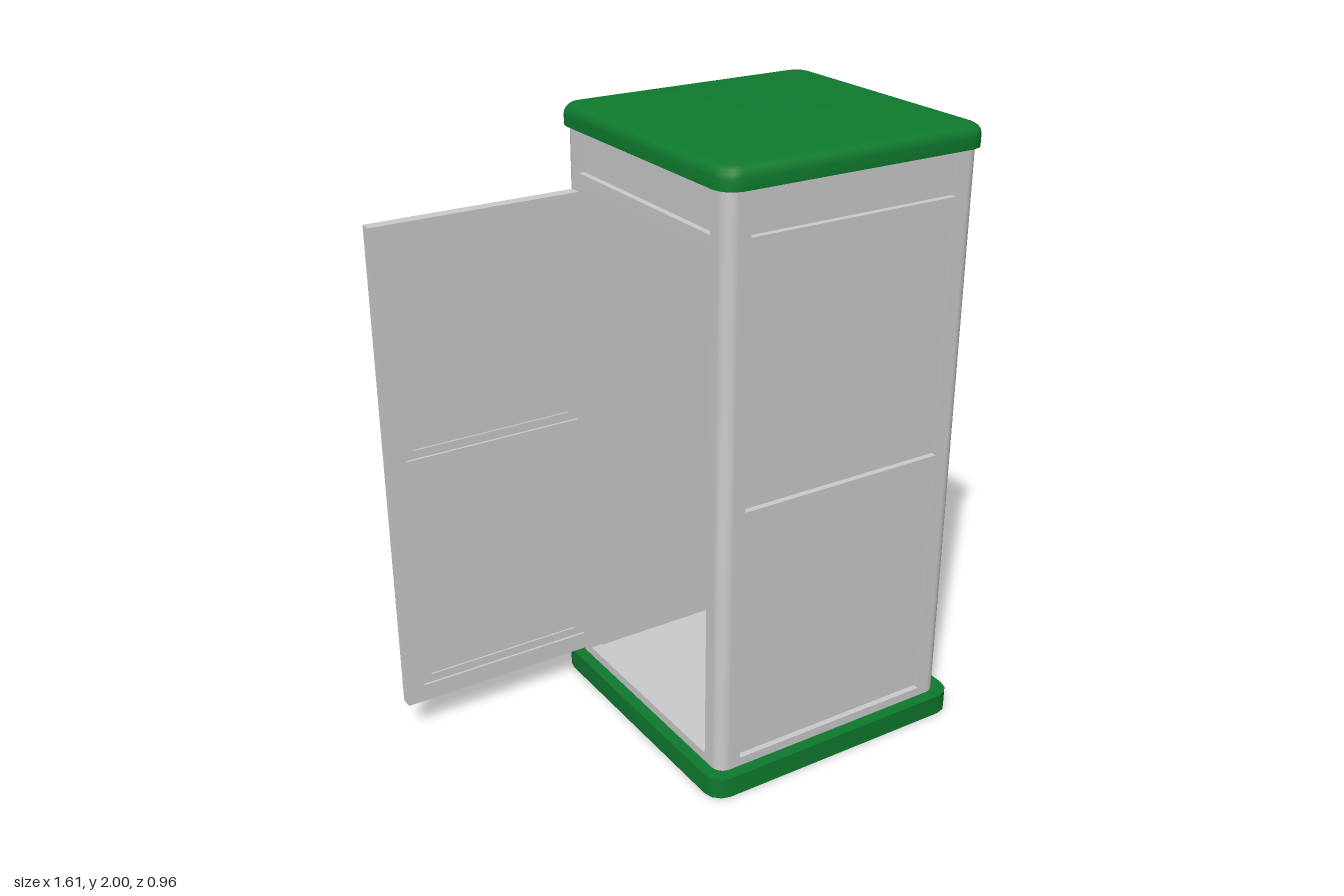
import * as THREE from 'three';
import { toCreasedNormals } from 'three/addons/utils/BufferGeometryUtils.js';

const grey = new THREE.MeshStandardMaterial({ color: 0xcccccc, side: THREE.DoubleSide });
const green = new THREE.MeshStandardMaterial({ color: 0x0f7a2e });

const HALF = 0.44, R = 0.04, RECESS = 0.02;
const BOTTOM = 0.06, TOP = 1.94;
const HEADER = 1.795, OPENING = 0.36;

function mesh(name, geometry, material, x = 0, y = 0, z = 0) {
  const m = new THREE.Mesh(geometry, material);
  m.name = name;
  m.position.set(x, y, z);
  return m;
}

function rectPath(x0, y0, x1, y1, Type = THREE.Path) {
  return new Type([[x0, y0], [x1, y0], [x1, y1], [x0, y1]].map(p => new THREE.Vector2(...p)));
}

// Flat plate in the XY plane with rectangular holes, extruded along +z
function plate(rect, holes, depth) {
  const shape = rectPath(...rect, THREE.Shape);
  shape.holes = holes.map(h => rectPath(...h));
  return new THREE.ExtrudeGeometry(shape, { depth, bevelEnabled: false });
}

// Points of a rounded square, counter-clockwise
function roundedSquare(half, r, segments = 3) {
  const points = [];
  for (let c = 0; c < 4; c++) {
    const mid = Math.PI / 4 + c * Math.PI / 2;
    const cx = Math.sign(Math.cos(mid)) * (half - r), cy = Math.sign(Math.sin(mid)) * (half - r);
    for (let i = 0; i <= segments; i++) {
      const a = (c + i / segments) * Math.PI / 2;
      points.push(new THREE.Vector2(cx + r * Math.cos(a), cy + r * Math.sin(a)));
    }
  }
  return points;
}

// Solid lofted through rounded squares, levels given as [y, half width, corner radius]
function loft(levels) {
  const pos = [], idx = [];
  const n = roundedSquare(1, 0.1).length;
  for (const [y, half, r] of levels)
    for (const p of roundedSquare(half, r)) pos.push(p.x, y, -p.y);
  for (let l = 0; l < levels.length - 1; l++)
    for (let i = 0; i < n; i++) {
      const a = l * n + i, b = l * n + (i + 1) % n;
      idx.push(a, b, b + n, a, b + n, a + n);
    }
  const last = (levels.length - 1) * n;
  for (let i = 1; i < n - 1; i++) {
    idx.push(0, i + 1, i);
    idx.push(last, last + i, last + i + 1);
  }
  const g = new THREE.BufferGeometry();
  g.setAttribute('position', new THREE.Float32BufferAttribute(pos, 3));
  g.setIndex(idx);
  return toCreasedNormals(g, 0.7);
}

// One side of the booth, facing +z: framed recessed panels, or a doorway under the header
function wall(name, doorway) {
  const g = new THREE.Group();
  g.name = name;
  const w = OPENING, edge = HALF - R;
  const header = [-w, HEADER, w, TOP - 0.005];
  const holes = doorway
    ? [[-w, 0.1, w, 1.75], header]
    : [[-w, 0.1, w, 0.885], [-w, 0.965, w, 1.75], header];
  g.add(mesh('wallFrame', plate([-edge, BOTTOM, edge, TOP], holes, RECESS), grey, 0, 0, HALF - RECESS));
  const backing = doorway ? [[-w, 0.1, w, 1.75]] : [];
  g.add(mesh('wallPanel', plate([-edge, BOTTOM, edge, TOP], backing, 0.02), grey, 0, 0, HALF - RECESS - 0.02));
  return g;
}

// Open door: a core sheet with two stepped frames on each face
function makeDoor() {
  const door = new THREE.Group();
  door.name = 'door';
  const w = 0.36, y0 = 0.105, y1 = 1.735;
  const outer = [[-0.3, 0.165, 0.3, 0.86], [-0.3, 0.98, 0.3, 1.68]];
  const inner = outer.map(([a, b, c, d]) => [a + 0.03, b + 0.028, c - 0.03, d - 0.026]);
  const rect = [-w, y0, w, y1];
  door.add(mesh('doorPanel', new THREE.BoxGeometry(2 * w, y1 - y0, 0.012), grey, 0, (y0 + y1) / 2, 0));
  for (const s of [-1, 1]) {
    door.add(mesh('doorMoulding', plate(rect, inner, 0.006), grey, 0, 0, s > 0 ? 0.006 : -0.012));
    door.add(mesh('doorFrame', plate(rect, outer, 0.008), grey, 0, 0, s > 0 ? 0.012 : -0.02));
  }
  door.position.set(-0.445, 0, -0.385);
  return door;
}

export function createModel() {
  const model = new THREE.Group();
  model.name = 'booth';
  const booth = new THREE.Group();
  booth.name = 'boothBody';
  booth.position.x = 0.32;
  model.add(booth);

  // Four walls and rounded corner posts
  ['frontWall', 'leftWall', 'backWall', 'doorwayWall'].forEach((name, i) => {
    const side = wall(name, i === 3);
    const post = new THREE.CylinderGeometry(R, R, TOP - BOTTOM, 6, 1, true, 0, Math.PI / 2);
    side.add(mesh('cornerPost', post, grey, HALF - R, (TOP + BOTTOM) / 2, HALF - R));
    side.rotation.y = i * Math.PI / 2;
    booth.add(side);
  });

  // Floor sheet inside the plinth
  booth.add(mesh('floor', new THREE.BoxGeometry(0.87, 0.01, 0.87), grey, 0, 0.062, 0));

  // Plinth ring, open underneath
  const ring = new THREE.Shape(roundedSquare(0.48, 0.06));
  ring.holes.push(new THREE.Path(roundedSquare(0.425, 0.03)));
  const ringGeometry = new THREE.ExtrudeGeometry(ring, { depth: 0.07, bevelEnabled: false });
  ringGeometry.rotateX(-Math.PI / 2);
  booth.add(mesh('plinth', toCreasedNormals(ringGeometry, 0.7), green));

  // Roof slab with a rounded upper edge
  const levels = [[1.932, 0.458, 0.06]];
  for (let i = 0; i <= 4; i++) {
    const a = i / 4 * Math.PI / 2;
    levels.push([1.965 + 0.035 * Math.sin(a), 0.423 + 0.035 * Math.cos(a), 0.03 + 0.03 * Math.cos(a)]);
  }
  booth.add(mesh('roof', loft(levels), green));

  model.add(makeDoor());
  return model;
}
